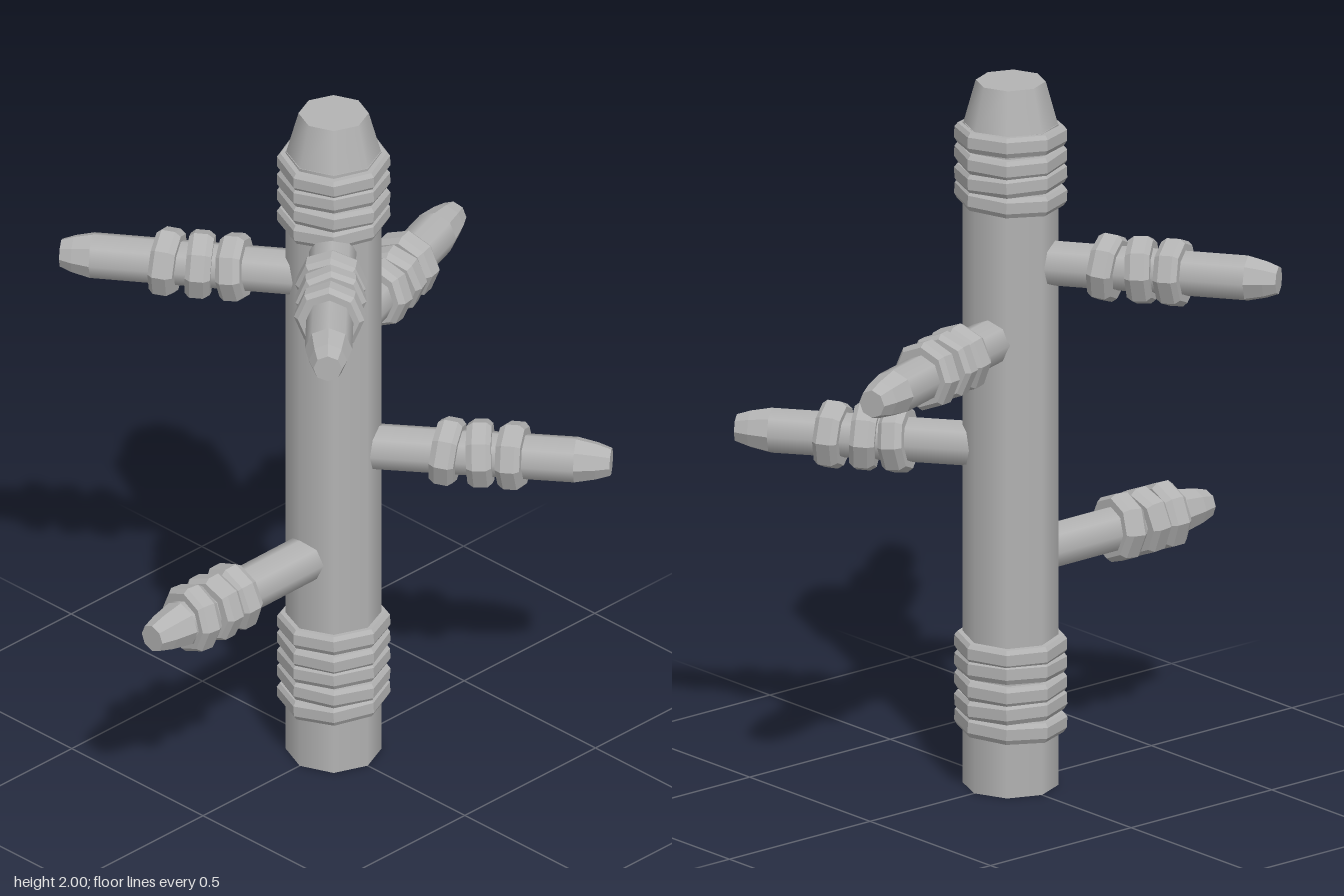
import * as THREE from 'three';

const SIDES = 8;
const wood = new THREE.MeshStandardMaterial({ color: 0xb3b3b3 });
wood.name = 'grey wood';

// Crisp facets for one geometry
function faceted(geometry) {
  const g = geometry.index ? geometry.toNonIndexed() : geometry;
  g.computeVertexNormals();
  return g;
}

function addMesh(parent, name, geometry, y = 0) {
  const mesh = new THREE.Mesh(geometry, wood);
  mesh.name = name;
  mesh.position.y = y;
  parent.add(mesh);
  return mesh;
}

// Chamfered strap around a round bar whose axis is y
function strap(inner, outer, width, edge) {
  const h = width / 2;
  const profile = [[inner, -h], [outer - edge, -h], [outer, -h * 0.5], [outer, h * 0.6], [outer - edge, h], [inner, h]];
  return faceted(new THREE.LatheGeometry(profile.map(([x, y]) => new THREE.Vector2(x, y)), SIDES));
}

// A stack of straps, each leaning a little like wound rope
function addStraps(parent, name, positions, geometry, lean) {
  positions.forEach((y, i) => {
    const mesh = addMesh(parent, name + (i + 1), geometry, y);
    mesh.rotation.set(lean * Math.cos(i * 2.1), 0, lean * (i % 2 ? -0.7 : 1));
  });
}

// Peg: shaft, chiselled tip and three straps, pointing to (x, z) at height y
function peg({ name, x, y, z, straps, taper }) {
  const group = new THREE.Group();
  group.name = name;
  const length = Math.hypot(x, z);
  const start = 0.05;

  addMesh(group, 'pegShaft', new THREE.CylinderGeometry(0.064, 0.064, taper - start, SIDES, 1, true), (taper + start) / 2);

  const mid = taper + (length - taper) * 0.6;
  const tip = [[0.064, taper], [0.052, mid], [0.039, length], [0, length]];
  addMesh(group, 'pegTip', faceted(new THREE.LatheGeometry(tip.map(([r, h]) => new THREE.Vector2(r, h)), SIDES)));

  addStraps(group, 'pegStrap', straps, strap(0.055, 0.096, 0.068, 0.012), 0.09);

  group.rotation.set(Math.PI / 2, Math.atan2(x, z), 0, 'YXZ');
  group.position.y = y;
  return group;
}

export function createModel() {
  const model = new THREE.Group();
  model.name = 'trainingPost';

  // Upright post with tapered head
  addMesh(model, 'post', new THREE.CylinderGeometry(0.13, 0.13, 1.88, SIDES), 0.94);
  addMesh(model, 'postHead', new THREE.CylinderGeometry(0.095, 0.128, 0.12, SIDES), 1.94);

  // Wrappings near the foot and the head
  const wrap = strap(0.12, 0.153, 0.056, 0.009);
  addStraps(model, 'lowerWrap', [0.185, 0.24, 0.295, 0.35, 0.402], wrap, 0.035);
  addStraps(model, 'upperWrap', [1.683, 1.738, 1.793, 1.848], wrap, 0.035);

  // Pegs at staggered heights
  [
    { name: 'frontLeftPeg', x: 0.495, y: 1.625, z: 0.52, straps: [0.265, 0.35, 0.435], taper: 0.61 },
    { name: 'frontRightPeg', x: -0.605, y: 1.49, z: 0.435, straps: [0.27, 0.365, 0.455], taper: 0.66 },
    { name: 'backPeg', x: -0.235, y: 1.288, z: -0.695, straps: [0.275, 0.355, 0.44], taper: 0.62 },
    { name: 'backLeftPeg', x: 0.6, y: 0.96, z: -0.46, straps: [0.31, 0.4, 0.49], taper: 0.66 },
    { name: 'frontPeg', x: 0.005, y: 0.645, z: 0.7, straps: [0.387, 0.466, 0.545], taper: 0.59 },
  ].forEach((spec) => model.add(peg(spec)));

  return model;
}
